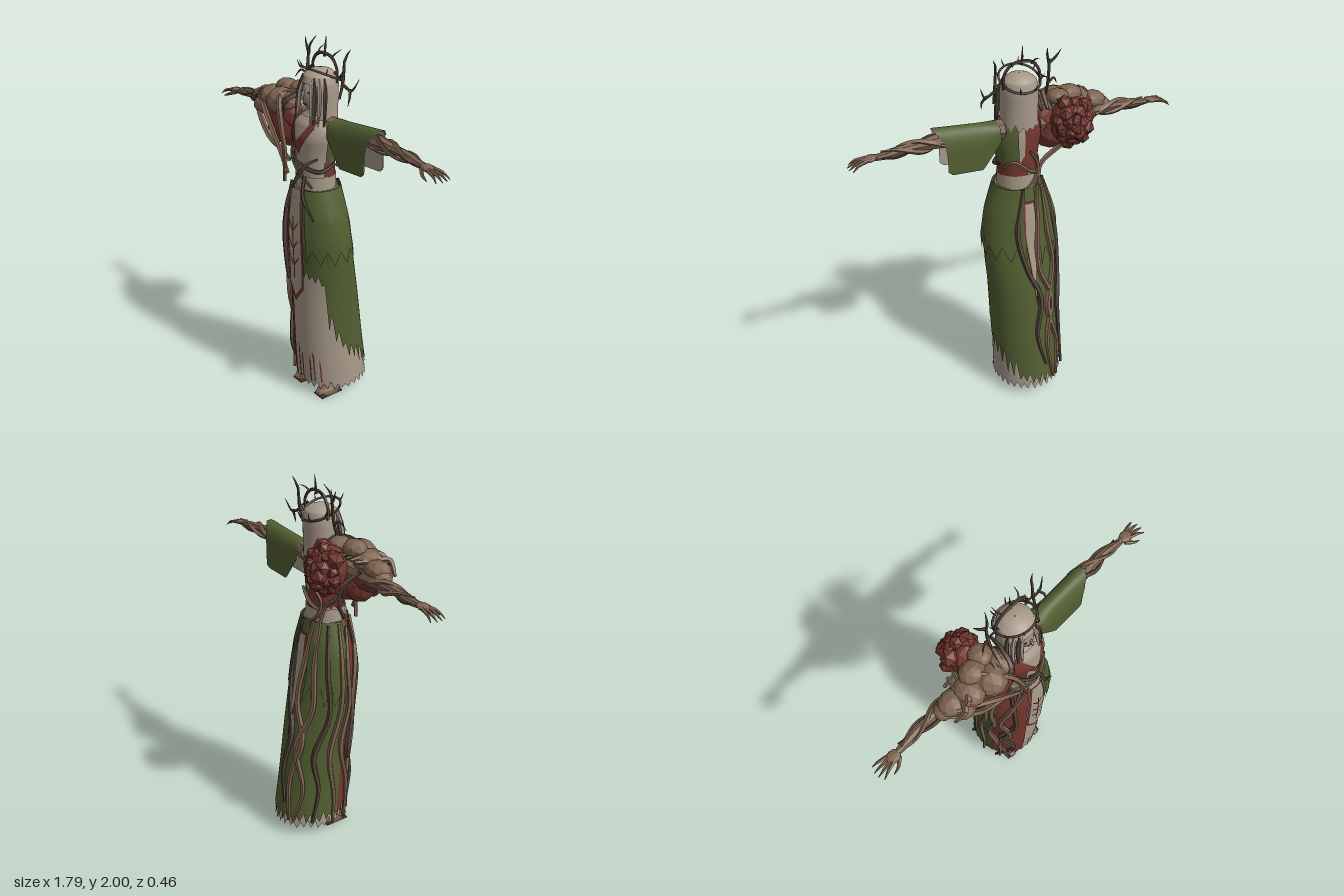
import * as THREE from 'three';

const V = (x, y, z) => new THREE.Vector3(x, y, z);
const lerp = THREE.MathUtils.lerp, rad = THREE.MathUtils.degToRad;
const hash = (i) => { const s = Math.sin(i * 12.9898 + 4.1) * 43758.5453; return s - Math.floor(s); };

// Piecewise interpolation through rows of [key, ...values], keys ascending
function sample(rows, k) {
  let i = 0;
  while (i < rows.length - 2 && k > rows[i + 1][0]) i++;
  const a = rows[i], b = rows[i + 1];
  const t = THREE.MathUtils.clamp((k - a[0]) / (b[0] - a[0]), 0, 1);
  return a.slice(1).map((v, j) => lerp(v, b[j + 1], t));
}

// Elliptical body surface from rows of [y, rx, cz, rz]; angle 0 is the front, 90 the left
const surface = (rows) => (deg, y, off = 0) => {
  const [rx, cz, rz] = sample(rows, y), a = rad(deg);
  return V((rx + off) * Math.sin(a), y, cz + (rz + off) * Math.cos(a));
};

// Grid of points fn(u, v)
function grid(nu, nv, fn) {
  const pos = [], idx = [];
  for (let j = 0; j <= nv; j++) for (let i = 0; i <= nu; i++) {
    pos.push(...fn(i / nu, j / nv, i).toArray());
    if (i < nu && j < nv) {
      const a = j * (nu + 1) + i, b = a + nu + 1;
      idx.push(a, a + 1, b, a + 1, b + 1, b);
    }
  }
  const g = new THREE.BufferGeometry();
  g.setAttribute('position', new THREE.Float32BufferAttribute(pos, 3));
  g.setIndex(idx);
  g.computeVertexNormals();
  return g;
}

// Cloth over a surface between two angles, with hem and top heights per angle
const cloth = (surf, a0, a1, n, hem, top, off, rows = 16) => grid(n, rows, (u, v, i) => {
  const a = lerp(a0, a1, u);
  return surf(a, lerp(hem(a, i), top(a, i), v), off);
});

const flat = (g) => {
  const f = g.index ? g.toNonIndexed() : g;
  f.computeVertexNormals();
  return f;
};

// Tapered tube through points; radii are spread evenly along it
function taper(pts, radii, sides = 5, seg = pts.length * 4) {
  const curve = new THREE.CatmullRomCurve3(pts);
  const g = new THREE.TubeGeometry(curve, seg, 1, sides);
  const p = g.attributes.position, v = V(0, 0, 0);
  const rows = radii.map((r, i) => [i / (radii.length - 1), r]);
  for (let i = 0; i < p.count; i++) {
    const t = Math.floor(i / (sides + 1)) / seg, c = curve.getPointAt(t);
    v.fromBufferAttribute(p, i).sub(c).multiplyScalar(sample(rows, t)[0]).add(c);
    p.setXYZ(i, v.x, v.y, v.z);
  }
  return flat(g);
}

export function createModel() {
  const group = new THREE.Group();
  const mat = (name, color) => new THREE.MeshStandardMaterial({ name, color, side: THREE.DoubleSide });
  const cream = mat('cream', 0xa89a8a), green = mat('moss green', 0x525f32), red = mat('dark red', 0x74372f);
  const brown = mat('bark brown', 0x7d634f), dark = mat('dark bark', 0x54443a), skin = mat('pale skin', 0x9c8e80);
  const add = (name, geo, m) => {
    const mesh = new THREE.Mesh(geo, m);
    mesh.name = name;
    group.add(mesh);
    return mesh;
  };
  const lump = (name, m, x, y, z, a, b, c, detail = 1) => {
    const mesh = add(name, flat(new THREE.IcosahedronGeometry(1, detail)), m);
    mesh.position.set(x, y, z);
    mesh.scale.set(a, b, c);
    return mesh;
  };

  // Skirt with torn hem
  const skirt = surface([[0.03, .187, -.02, .2], [.3, .18, .01, .188], [.6, .18, .035, .172], [.8, .192, .055, .152],
    [.95, .196, .075, .138], [1.1, .17, .082, .128], [1.25, .118, .088, .108]]);
  const jag = (i, amp) => (i % 2 ? 1 : 0.3 * hash(i)) * amp * (0.5 + 0.5 * hash(i + 7));
  const waist = () => 1.25;
  add('skirt', cloth(skirt, 0, 360, 60, (a, i) => .045 + jag(i % 60, .06), waist, 0), cream);
  add('redPanel', cloth(skirt, -82, -15, 14, (a, i) => .06 + jag(i, .1), waist, .005), red);
  const hems = [[15, .74], [52, .72], [58, .42], [90, .24], [130, .12], [180, .07], [285, .09]];
  add('greenOverskirt', cloth(skirt, 15, 285, 50,
    (a, i) => sample(hems, a)[0] + jag(i, a > 55 && a < 140 ? .17 : .07), waist, .008), green);
  add('greenUpperLayer', cloth(skirt, 22, 172, 12, (a, i) => .85 + (i % 2) * .08, waist, .018), green);
  add('greenRightLayer', cloth(skirt, 195, 275, 8, (a, i) => .8 + (i % 2) * .1, waist, .016), green);

  // Front tabard and back slit: red border under a cream face
  const point = (lo, k) => (a) => lo + k * Math.abs(a);
  add('tabardBorder', cloth(skirt, -17, 17, 8, point(.6, .005), waist, .018), red);
  add('tabard', cloth(skirt, -14, 14, 8, point(.63, .005), waist, .022), cream);
  const backPoint = (a) => .58 + .045 * Math.abs(a - 180);
  add('backSlitBorder', cloth(skirt, 169, 191, 8, backPoint, () => 1.18, .02), red);
  add('backSlit', cloth(skirt, 172, 188, 8, (a) => backPoint(a) + .06, () => 1.17, .024), cream);
  // Painted chevrons and hem stripes
  for (const y of [.83, .93, 1.03]) for (const s of [-1, 1])
    add('tabardChevron', cloth(skirt, 0, s * 10, 4, (a) => y - .02 + Math.abs(a) * .005,
      (a) => y - .004 + Math.abs(a) * .005, .026, 1), red);
  add('tabardStem', cloth(skirt, -1, 1, 1, () => .74, () => 1.1, .026, 6), red);
  [[-4, .2], [4, .16], [20, .14], [27, .18], [38, .13]].forEach(([a, h]) =>
    add('hemStripe', cloth(skirt, a, a + 2.5, 1, () => .1, (b, i) => .12 + h - i * .03, .006, 6), red));

  // Vines climbing the skirt: [angle, height] points
  const vines = [
    [[-25, 1.24], [-50, 1.05], [-62, .85], [-45, .6], [-60, .35], [-40, .08]],
    [[-60, 1.24], [-40, 1.0], [-38, .75], [-62, .5], [-35, .28], [-62, .06]],
    [[-75, 1.22], [-85, 1.0], [-72, .8], [-82, .55], [-60, .3], [-55, .06]],
    [[-95, 1.24], [-98, 1.02], [-92, .8], [-102, .5], [-88, .25], [-85, .07]],
    [[-120, 1.24], [-125, 1.0], [-112, .75], [-128, .5], [-115, .3], [-120, .1]],
    [[-140, 1.25], [-150, 1.0], [-142, .78], [-160, .55], [-140, .3], [-150, .1]],
    [[-155, 1.26], [-168, 1.05], [-172, .8], [-150, .6], [-165, .35], [-158, .1]],
    [[170, 1.25], [160, 1.0], [170, .8], [-172, .62], [178, .4], [-170, .2]]];
  vines.forEach((pts, i) => add('skirtVine', taper(pts.map(([a, y]) => skirt(a, y, .018)),
    [.009, .016, .014, .017, .013, .008], 5, 28), i % 3 === 1 ? dark : brown));

  // Torso, bodice pieces and belt
  const torso = surface([[1.2, .1, .088, .09], [1.31, .098, .088, .088], [1.42, .108, .092, .094], [1.52, .132, .095, .1],
    [1.59, .125, .085, .085], [1.63, .06, .07, .055], [1.72, .036, .07, .036]]);
  add('torso', cloth(torso, 0, 360, 28, () => 1.2, () => 1.72, 0, 18), cream);
  add('redBodice', cloth(torso, -180, -22, 14, (a, i) => 1.31 + jag(i, .03), () => 1.6, .006), red);
  add('greenBackBodice', cloth(torso, 80, 165, 10, (a, i) => 1.36 + jag(i, .06), () => 1.61, .008), green);
  add('redSidePanel', cloth(torso, 75, 190, 10, () => 1.3, (a, i) => 1.38 + jag(i, .05), .006), red);
  add('collar', cloth(torso, -46, 46, 12, point(1.43, .0037), (a) => 1.61, .009), red);
  add('neckline', cloth(torso, -32, 32, 12, point(1.5, .0035), (a) => 1.62, .013), skin);
  add('belt', cloth(torso, 0, 360, 28, () => 1.245, () => 1.315, .012, 3), cream);
  // Roots crossing the waist
  [[[-70, 1.46], [-30, 1.4], [5, 1.33], [40, 1.26]], [[55, 1.42], [25, 1.38], [-8, 1.3], [-45, 1.24]],
    [[-20, 1.44], [0, 1.39], [60, 1.35], [110, 1.38]], [[-170, 1.45], [-140, 1.36], [-150, 1.28], [170, 1.22]],
    [[-60, 1.4], [-90, 1.34], [-75, 1.28], [-60, 1.22]], [[120, 1.36], [150, 1.4], [190, 1.34], [230, 1.3]]]
    .forEach((pts, i) => add('waistRoot', taper(pts.map(([a, y]) => torso(a, y, .02)), [.006, .01, .011, .007]), i % 2 ? brown : dark));
  add('hangingRoot', taper([torso(20, 1.32, .02), V(.06, 1.22, .215), V(.13, 1.1, .2)], [.01, .009, .003]), dark);

  // Head: face and veil
  const face = add('face', new THREE.SphereGeometry(1, 20, 14), skin);
  face.position.set(0, 1.725, .095);
  face.scale.set(.052, .085, .066);
  add('nose', taper([V(0, 1.755, .155), V(0, 1.725, .168), V(0, 1.708, .17)], [.004, .009, .006]), skin);
  add('mouth', new THREE.BoxGeometry(.024, .005, .006), dark).position.set(0, 1.682, .152);
  const veil = surface([[1.55, .1, .062, .088], [1.7, .098, .062, .092], [1.78, .098, .06, .094], [1.82, .085, .058, .082],
    [1.845, .05, .056, .05], [1.853, .002, .056, .002]]);
  add('veil', cloth(veil, 42, 318, 24, (a, i) => 1.56 + jag(i, .05), () => 1.79, 0, 8), cream);
  add('veilTop', cloth(veil, 0, 360, 32, () => 1.785, () => 1.853, 0, 12), cream);
  for (const s of [-1, 1]) {
    add('eye', new THREE.BoxGeometry(.022, .006, .006), dark).position.set(s * .022, 1.742, .15);
    [[.045, .135], [.065, .13], [.082, .115], [.096, .09]].forEach(([x, z], i) => add('hairStrand', taper(
      [V(s * (x - .02), 1.815, z), V(s * x, 1.75, z + .01), V(s * (x + .008), 1.65, z + .02), V(s * (x + .012), 1.58 - .02 * (i % 2), z + .03)],
      [.006, .012, .01, .002]), i % 2 ? dark : cream));
  }

  // Thorn crown
  const circlet = add('circlet', new THREE.TorusGeometry(.105, .006, 5, 28), dark);
  circlet.position.set(0, 1.822, .055);
  circlet.rotation.x = Math.PI / 2 - .42;
  add('crownArch', taper([V(-.1, 1.79, .03), V(-.095, 1.86, .03), V(-.05, 1.91, .03), V(.05, 1.91, .03), V(.095, 1.86, .03), V(.1, 1.79, .03)],
    [.007, .009, .007]), dark);
  const thorn = (name, r, ...p) => add(name, taper(p.map((q) => V(...q)), [r, r * .8, .001]), dark);
  thorn('crownSpike', .007, [0, 1.9, .03], [0, 1.95, .025], [0, 2, .02]);
  for (const s of [-1, 1]) {
    thorn('antlerLink', .007, [s * .09, 1.84, .04], [s * .12, 1.82, .035], [s * .15, 1.81, .03]);
    thorn('archThorn', .005, [s * .05, 1.9, .03], [s * .065, 1.925, .01], [s * .07, 1.94, -.02]);
    add('antlerStem', taper([V(s * .145, 1.72, .05), V(s * .145, 1.8, .03), V(s * .145, 1.91, .02)], [.006, .009, .006]), dark);
  }
  thorn('antlerTine', .008, [-.145, 1.89, .02], [-.175, 1.92, .01], [-.2, 1.96, 0]);
  thorn('antlerTine', .008, [-.145, 1.88, .02], [-.135, 1.93, .02], [-.118, 1.98, -.01]);
  thorn('antlerTine', .007, [-.145, 1.78, .03], [-.18, 1.8, .04], [-.21, 1.76, .06]);
  thorn('antlerTine', .007, [.145, 1.9, .02], [.15, 1.93, .01], [.165, 1.96, 0]);
  thorn('antlerTine', .008, [.145, 1.79, .03], [.2, 1.77, .02], [.235, 1.83, 0]);
  thorn('antlerTine', .008, [.19, 1.775, .02], [.21, 1.74, .04], [.21, 1.7, .05]);
  for (let i = 0; i < 8; i++) {
    const a = i * Math.PI / 4 + .4, x = Math.sin(a), z = Math.cos(a), y = 1.822 + z * .04;
    thorn('circletThorn', .004, [x * .1, y, .055 + z * .1], [x * .115, y + .02, .055 + z * .11], [x * .125, y + .035, .055 + z * .115]);
  }

  // Arms, hands, legs and feet
  for (const s of [-1, 1]) {
    add('arm', taper([V(s * .1, 1.57, .06), V(s * .3, 1.58, .05), V(s * .5, 1.58, .05), V(s * .62, 1.575, .05), V(s * .73, 1.56, .055), V(s * .8, 1.56, .06)],
      [.055, .045, .044, .038, .022, .024, .012], 8, 28), brown);
    for (let k = 0; k < 3; k++) add('armRoot', taper([0, 1, 2, 3, 4, 5].map((i) => {
      const a = i * .9 + k * 2.1, r = .036 - i * .003;
      return V(s * (.42 + i * .062), 1.58 + r * Math.cos(a) - i * .003, .05 + r * Math.sin(a));
    }), [.012, .014, .01, .004], 4), k ? brown : dark);
    const palm = lump('palm', brown, s * .785, 1.56, .058, .04, .015, .032);
    palm.rotation.z = -s * .15;
    for (let f = 0; f < 4; f++) {
      const d = f - 1.5, l = .9 - .012 * Math.abs(d);
      add('finger', taper([V(s * .8, 1.56, .058 + d * .013), V(s * .85, 1.55, .058 + d * .022), V(s * l, 1.527, .058 + d * .028)], [.01, .008, .002]), brown);
    }
    add('thumb', taper([V(s * .76, 1.555, .075), V(s * .8, 1.54, .105), V(s * .835, 1.525, .112)], [.011, .009, .002]), brown);
    add('leg', taper([V(s * .1, .03, .05), V(s * .095, .3, .05), V(s * .07, .65, .06)], [.032, .045, .06], 7), brown);
    const foot = new THREE.SphereGeometry(1, 10, 8), p = foot.attributes.position;
    for (let i = 0; i < p.count; i++)
      p.setXYZ(i, s * .1 + p.getX(i) * .046, Math.max(0, .022 + p.getY(i) * .042 * (1 - .3 * p.getZ(i))), .085 + p.getZ(i) * .085);
    add('foot', flat(foot), brown);
    add('sole', new THREE.BoxGeometry(.075, .008, .14), dark).position.set(s * .1, .004, .085);
  }

  // Hanging left sleeve with lining
  const bottom = [[.13, 1.53], [.23, 1.4], [.41, 1.41], [.45, 1.54], [.5, 1.62]];
  const sleeve = (inset) => grid(14, 20, (u, v) => {
    const w = Math.sin(Math.PI * v), top = lerp(1.62, 1.65, u) - inset;
    const x = lerp(.13, .415 + .07 * w ** 2 * (Math.round(v * 20) % 3 ? .8 : 1), u);
    const lo = sample(bottom, Math.min(x, .42))[0];
    return V(x, lerp(lo, top, Math.sqrt(Math.max(0, w))), .055 + (.062 - inset) * Math.cos(Math.PI * v));
  });
  add('sleeve', sleeve(0), green);
  add('sleeveLining', sleeve(.005), cream);

  // Overgrown right shoulder: red flesh, bark lumps, wrapping roots
  [[-.2, 1.52, .09, .12, .125, .11], [-.37, 1.57, .08, .1, .075, .075], [-.29, 1.5, .09, .08, .085, .08], [-.14, 1.58, .09, .07, .09, .09]]
    .forEach((l) => lump('shoulderFlesh', red, ...l));
  [[-.23, 1.64, .13, .085, .075, .085], [-.34, 1.64, .1, .075, .06, .085], [-.43, 1.62, .08, .075, .05, .065], [-.28, 1.69, .06, .07, .05, .06],
    [-.15, 1.65, .1, .055, .06, .08], [-.48, 1.59, .07, .05, .045, .05], [-.4, 1.58, .14, .06, .045, .04], [-.2, 1.7, .03, .06, .04, .06]]
    .forEach((l) => lump('shoulderBark', brown, ...l));
  for (let i = 0; i < 9; i++) {
    const h = hash(i), k = hash(i + 20), x = -.14 - i * .035;
    add('shoulderRoot', taper([V(x - .06, 1.57 + .03 * h, .16 - .04 * k), V(x, 1.65 + .05 * h - i * .004, .17 - .04 * k),
      V(x + .03, 1.7 + .03 * k - i * .007, .08), V(x + .05, 1.66, -.01)], [.008, .016, .015, .008]), i % 3 ? brown : dark);
  }
  [[V(-.5, 1.59, .1), V(-.38, 1.54, .17), V(-.3, 1.44, .17), V(-.16, 1.41, .19), V(-.07, 1.38, .2)],
    [V(-.45, 1.64, .13), V(-.33, 1.6, .18), V(-.24, 1.55, .21), V(-.16, 1.44, .21), V(-.09, 1.3, .2)],
    [V(-.28, 1.72, .08), V(-.17, 1.66, .19), V(-.13, 1.56, .21), V(-.1, 1.42, .21), V(-.12, 1.25, .2)],
    [V(-.4, 1.62, 0), V(-.3, 1.52, -.03), V(-.2, 1.42, .02), V(-.1, 1.34, .02), V(-.08, 1.24, -.01)]]
    .forEach((p) => add('shoulderVine', taper(p, [.01, .016, .014, .01]), brown));

  // Red fungus cluster behind the shoulder
  for (let i = 0; i < 26; i++) {
    const a = i * 2.4, t = Math.sqrt((i + .5) / 26), r = .032 + .018 * hash(i + 3);
    lump('fungusBud', red, -.23 + .085 * t * Math.cos(a), 1.6 + .12 * t * Math.sin(a), -.05 - .08 * (1 - t * t) - .035 * hash(i),
      r, r * 1.05, r, 0).rotation.set(i, i * 2, 0);
  }
  lump('fungusCore', red, -.22, 1.59, -.04, .09, .125, .08);
  return group;
}
